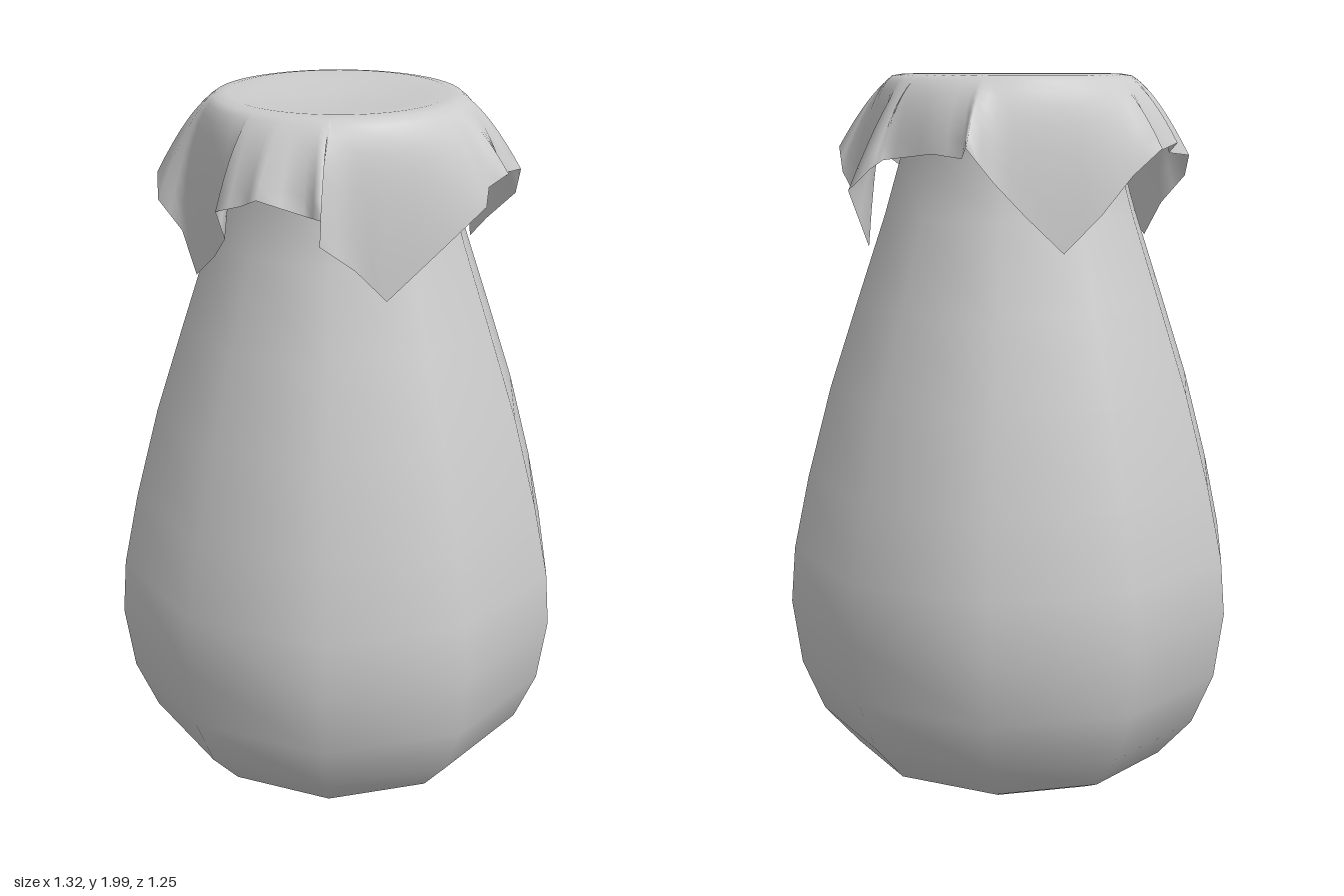
import * as THREE from 'three';

const material = new THREE.MeshStandardMaterial({ color: 0xcccccc, side: THREE.DoubleSide });

// Ten-sided jar body with a dimpled base and a slightly flared mouth
function createJar() {
  const profile = [
    [0, 0.06], [0.07, 0.035], [0.24, 0.02], [0.37, 0.005], [0.41, 0.005], [0.47, 0.035],
    [0.57, 0.15], [0.632, 0.3], [0.658, 0.49], [0.645, 0.65], [0.6, 0.86], [0.53, 1.12],
    [0.45, 1.36], [0.365, 1.61], [0.315, 1.78], [0.32, 1.87], [0.33, 1.94], [0.3, 1.96], [0, 1.96],
  ].map(([r, y]) => new THREE.Vector2(r, y));
  const jar = new THREE.Mesh(new THREE.LatheGeometry(profile, 10, Math.PI / 2), material);
  jar.name = 'jarBody';
  return jar;
}

// Hem of the square cloth, running from +x towards +z: pleated edges and four hanging corners
const hem = [
  [0.44, 1.79, -0.08], [0.47, 1.8, -0.02], [0.49, 1.82, 0.03], [0.45, 1.79, 0.07], [0.46, 1.75, 0.12],
  [0.37, 1.65, 0.22], [0.26, 1.53, 0.32], [0.19, 1.62, 0.37], [0.13, 1.7, 0.46],
  [0.15, 1.78, 0.5], [0.08, 1.77, 0.44], [-0.03, 1.81, 0.485], [-0.09, 1.78, 0.45],
  [-0.16, 1.76, 0.45], [-0.15, 1.68, 0.42], [-0.21, 1.61, 0.36], [-0.3, 1.53, 0.29], [-0.37, 1.63, 0.23],
  [-0.44, 1.71, 0.23], [-0.47, 1.77, 0.17], [-0.44, 1.78, 0.08], [-0.48, 1.81, 0.03],
  [-0.43, 1.78, -0.04], [-0.48, 1.8, -0.1], [-0.42, 1.73, -0.16],
  [-0.36, 1.63, -0.23], [-0.28, 1.53, -0.3], [-0.2, 1.63, -0.37], [-0.13, 1.72, -0.42],
  [-0.09, 1.81, -0.5], [-0.05, 1.78, -0.44], [0.04, 1.79, -0.43], [0.12, 1.78, -0.41],
  [0.2, 1.77, -0.4], [0.21, 1.75, -0.45], [0.28, 1.69, -0.45], [0.28, 1.53, -0.34],
  [0.36, 1.62, -0.23], [0.46, 1.72, -0.16], [0.475, 1.79, -0.15],
].map((p) => new THREE.Vector3(...p));

// Cloth: nearly flat top, rounded over the rim, then draped down to the hem
function createCloth() {
  const split = 2, drops = 9, flat = [0, 0.35, 0.7, 0.9];
  const rimRadius = 0.335;
  const columns = hem.length * split, rows = flat.length + drops;
  const positions = [], index = [];

  for (let j = 0; j < columns; j++) {
    const k = Math.floor(j / split);
    const end = hem[k].clone().lerp(hem[(k + 1) % hem.length], (j % split) / split);
    const even = (j / columns) * Math.PI * 2 - 0.18;
    const hemAngle = Math.atan2(end.z, end.x);
    // Shortest blend between even spacing and the hem's own angle
    const delta = Math.atan2(Math.sin(hemAngle - even), Math.cos(hemAngle - even));
    const at = (angle, r, y) => new THREE.Vector3(Math.cos(angle) * r, y, Math.sin(angle) * r);
    const rim = at(even + delta * 0.7, rimRadius, 1.99);
    const shoulder = at(hemAngle, 0.405, 1.95);
    const drape = new THREE.QuadraticBezierCurve3(rim, shoulder, end);

    for (const f of flat) positions.push(rim.x * f, 1.975 + 0.025 * f * f, rim.z * f);
    for (let i = 0; i < drops; i++) positions.push(...drape.getPoint(i / (drops - 1)).toArray());

    const next = ((j + 1) % columns) * rows;
    for (let i = 0; i < rows - 1; i++) {
      const a = j * rows + i, b = next + i;
      if (i > 0) index.push(a, b, a + 1);
      index.push(b, b + 1, a + 1);
    }
  }

  const geometry = new THREE.BufferGeometry();
  geometry.setAttribute('position', new THREE.Float32BufferAttribute(positions, 3));
  geometry.setIndex(index);
  geometry.computeVertexNormals();
  const cloth = new THREE.Mesh(geometry, material);
  cloth.name = 'clothCover';
  return cloth;
}

export function createModel() {
  const model = new THREE.Group();
  model.name = 'clothCoveredJar';
  model.add(createJar(), createCloth());
  return model;
}
